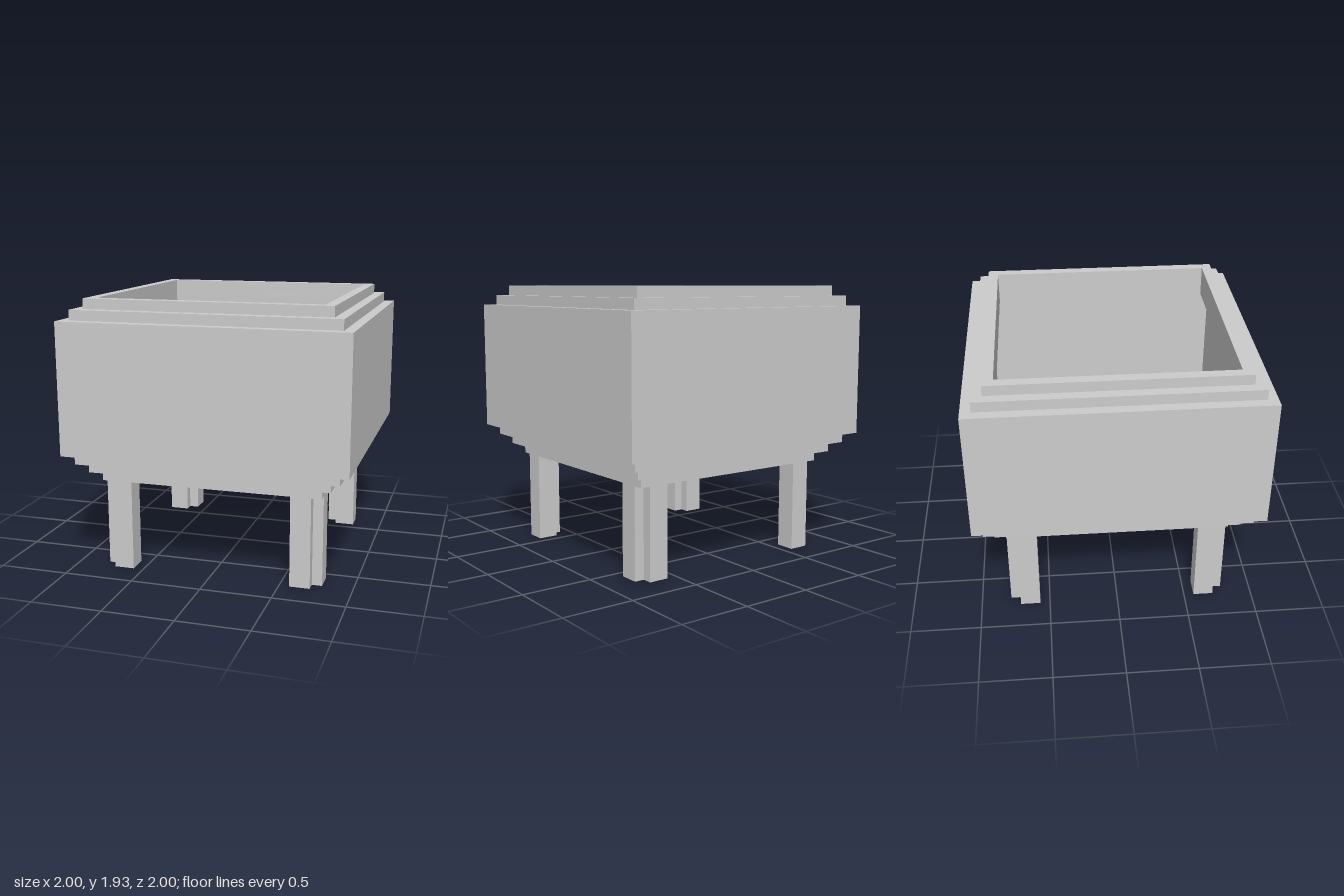
import * as THREE from 'three';

const U = 2 / 28; // one block

export function createModel() {
  const group = new THREE.Group();
  const material = new THREE.MeshStandardMaterial({ color: 0xcccccc, flatShading: true });

  // Extrudes an x/z outline (in blocks) upward from y0 to y1
  function slab(name, shape, y0, y1) {
    const geometry = new THREE.ExtrudeGeometry(shape, { depth: (y1 - y0) * U, bevelEnabled: false });
    geometry.rotateX(-Math.PI / 2);
    geometry.translate(0, y0 * U, 0);
    const mesh = new THREE.Mesh(geometry, material);
    mesh.name = name;
    group.add(mesh);
    return mesh;
  }

  const outline = (points) => points.map(([x, y]) => new THREE.Vector2(x * U, y * U));
  const square = (h) => outline([[-h, -h], [h, -h], [h, h], [-h, h]]);

  // Stepped bowl: name, outer half width, inner half width (0 = solid), bottom, top
  const tiers = [
    ['basePlate', 11, 0, 9, 10],
    ['lowerStep', 12, 10, 10, 11],
    ['upperStep', 13, 11, 11, 12],
    ['bodyWall', 14, 12, 12, 24],
    ['bodyTop', 14, 11, 24, 25],
    ['lowerRim', 13, 11, 25, 26],
    ['upperRim', 12, 11, 26, 27],
  ];
  for (const [name, outer, inner, y0, y1] of tiers) {
    const shape = new THREE.Shape(square(outer));
    if (inner) shape.holes.push(new THREE.Path(square(inner)));
    slab(name, shape, y0, y1);
  }

  // Legs: three blocks square, with the outer and inner corners notched
  const legOutline = [[9, 8], [11, 8], [11, 10], [10, 10], [10, 11], [8, 11], [8, 9], [9, 9]];
  for (const sx of [-1, 1]) {
    for (const sz of [-1, 1]) {
      const shape = new THREE.Shape(outline(legOutline.map(([x, z]) => [x * sx, z * sz])));
      slab((sz > 0 ? 'back' : 'front') + (sx > 0 ? 'Left' : 'Right') + 'Leg', shape, 0, 9);
    }
  }
  return group;
}
